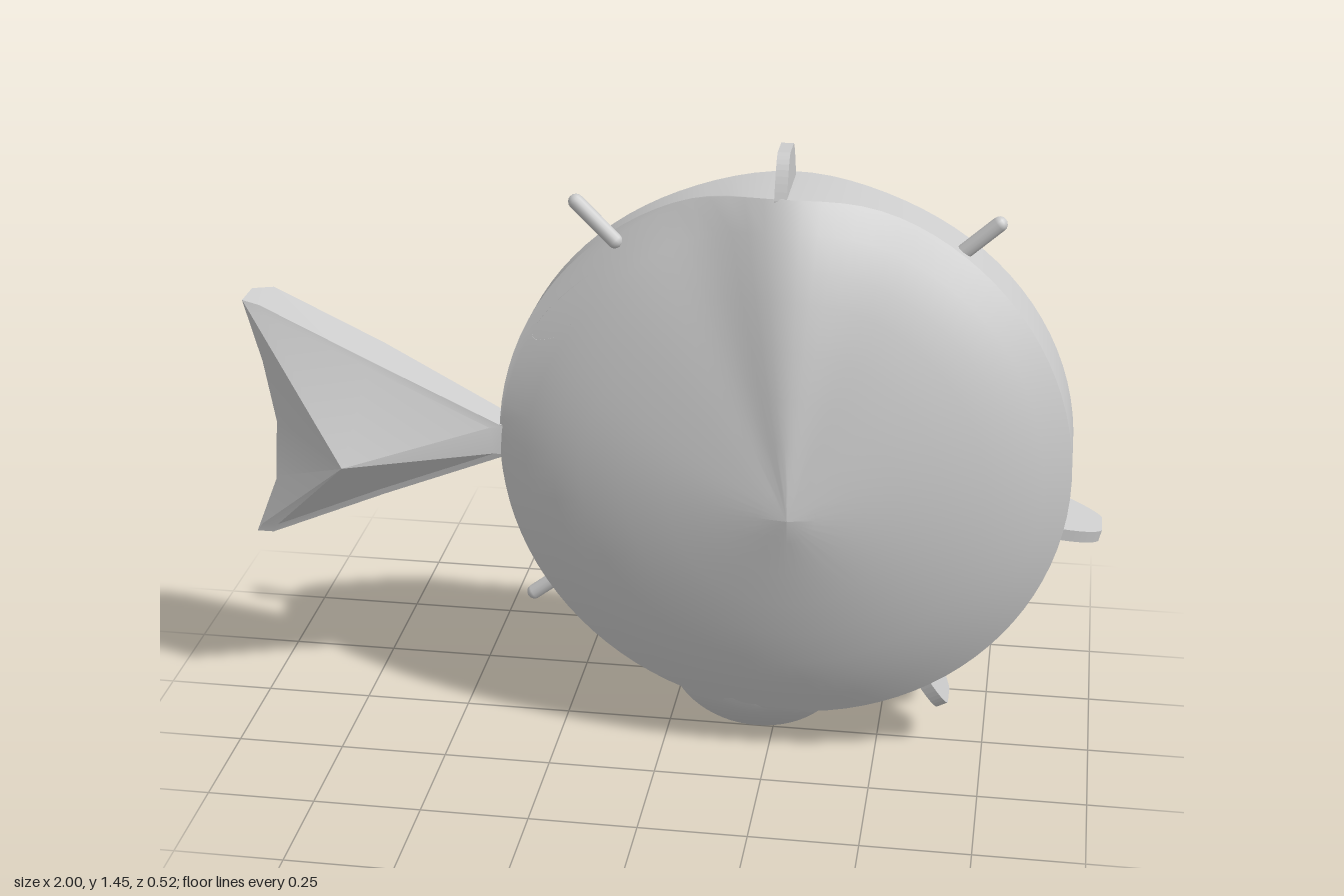
import * as THREE from 'three';
import { toCreasedNormals } from 'three/addons/utils/BufferGeometryUtils.js';

const grey = new THREE.MeshStandardMaterial({ color: 0xcccccc, side: THREE.DoubleSide });
grey.name = 'light grey';

const CX = 0.26, CY = 0.73, RX = 0.66, RY = 0.63; // body outline
const OX = 0.04, OY = -0.06, APEX = 0.26;         // offset and depth of the front peak
const V = (x, y, z) => new THREE.Vector3(x, y, z);
const loop = (n, f) => Array.from({ length: n }, (_, i) => f((i / n) * Math.PI * 2));

// Skin through a list of closed rings
function loft(rings, crease = 0.6) {
  const n = rings[0].length, pos = [], idx = [];
  rings.forEach((r) => r.forEach((p) => pos.push(p.x, p.y, p.z)));
  for (let i = 0; i < rings.length - 1; i++) {
    for (let j = 0; j < n; j++) {
      const k = (j + 1) % n, a = i * n + j, b = a + n, c = (i + 1) * n + k, d = i * n + k;
      idx.push(a, b, c, a, c, d);
    }
  }
  const g = new THREE.BufferGeometry();
  g.setAttribute('position', new THREE.Float32BufferAttribute(pos, 3));
  g.setIndex(idx);
  return toCreasedNormals(g, crease);
}

// Depth rules: front rim, back rim, front shell and rear dome
const near = (a, mid, width) => Math.exp(-((Math.atan2(Math.sin(a - mid), Math.cos(a - mid)) / width) ** 2));
const rimFront = (a) => 0.05 + 0.035 * Math.cos(a) - 0.045 * Math.sin(a) + 0.08 * near(a, Math.PI / 2, 0.24);
const rimBack = (a) => -0.1 - 0.015 * Math.cos(a) + 0.015 * Math.sin(a) - 0.035 * near(a, Math.PI / 2, 0.28);
const shellZ = (t, a) => rimFront(a) + (APEX - rimFront(a)) * (1 - 0.6 * t - 0.4 * t ** 4);
const domeZ = (x, y) => Math.min(-0.09, -0.265 + 0.55 * (x - 0.3) ** 2 + 0.4 * (y - 0.72) ** 2);
function floorZ(x, y) {
  let t = 0.5, a = 0;
  for (let i = 0; i < 10; i++) {
    const u = (x - CX - (1 - t) * OX) / RX, v = (y - CY - (1 - t) * OY) / RY;
    t = Math.min(1, Math.hypot(u, v));
    a = Math.atan2(v, u);
  }
  return shellZ(t, a) - 0.015;
}

// Hollow body: peaked front shell, ledge at the upper tail side, side wall and open back
function bodyGeometry() {
  const N = 96, rings = [];
  const ring = (t, scale, z) => loop(N, (a) => V(
    CX + (1 - t) * OX + t * scale(a) * RX * Math.cos(a),
    CY + (1 - t) * OY + t * scale(a) * RY * Math.sin(a), z(a)));
  const full = () => 1, inset = () => 0.955;
  const ledge = (a) => 1 - 0.04 * near(a, 2.5, 0.45);
  const steps = [0.001, 0.1, 0.25, 0.4, 0.55, 0.7, 0.8, 0.9, 1];
  steps.forEach((t) => rings.push(ring(t, ledge, (a) => shellZ(t, a))));
  rings.push(ring(1, full, (a) => rimFront(a) - 0.003), ring(1, full, rimBack), ring(1, inset, rimBack));
  steps.reverse().forEach((t) => rings.push(ring(t, inset, (a) => shellZ(t, a) - 0.02)));
  return loft(rings);
}

// Wall standing on the shell floor and trimmed by the rear dome
function wallGeometry(outer, inner) {
  const at = (pts, f) => pts.map((p) => V(p.x, p.y, f(p.x, p.y)));
  return loft([at(outer, floorZ), at(outer, domeZ), at(inner, domeZ), at(inner, floorZ)]);
}
const circle = (x, y, r) => loop(32, (a) => V(x + r * Math.cos(a), y + r * Math.sin(a), 0));

// Crescent outline that arches over the tubes
const crescent = (w, h) => loop(64, (a) => {
  const s = Math.sin(a);
  return V(0.23 + w * Math.cos(a), 0.98 + 0.23 * s * s + h * s, 0);
});

// Hollow tail: flat flange, pyramid front, thin wall with clipped corners
function tailGeometry() {
  const outline = [[-0.38, 0.68], [-0.39, 0.75], [-0.7, 0.895], [-0.96, 1.02], [-1, 1.03], [-0.96, 0.88],
    [-0.935, 0.73], [-0.945, 0.58], [-1, 0.44], [-0.96, 0.44], [-0.68, 0.56]];
  const ring = (s, z) => outline.map(([x, y]) => V(-0.8 + (x + 0.8) * s, 0.72 + (y - 0.72) * s, z(x)));
  const peak = (z) => outline.map(() => V(-0.75, 0.67, z));
  const flat = (z) => () => z;
  const back = (x) => (x < -0.97 || x > -0.45 ? -0.065 : -0.108);
  return loft([peak(0.13), ring(0.92, flat(0.02)), ring(1, flat(0.015)), ring(1, back),
    ring(0.9, back), ring(0.9, flat(-0.005)), peak(0.1)], 0.3);
}

// Curled lip below the body
function lipGeometry() {
  const P = [], idx = [], N = 32, M = 8;
  for (let i = 0; i <= M; i++) {
    for (let j = 0; j <= N; j++) {
      const q = i / M, s = 0.4 + 0.6 * q, a = Math.PI * (1 + j / N);
      P.push(0.21 + 0.215 * s * Math.cos(a), 0.19 + 0.19 * s * Math.sin(a), 0.1 * (1 - q ** 1.4));
      if (i < M && j < N) {
        const k = i * (N + 1) + j, b = k + N + 1;
        idx.push(k, b, b + 1, k, b + 1, k + 1);
      }
    }
  }
  const g = new THREE.BufferGeometry();
  g.setAttribute('position', new THREE.Float32BufferAttribute(P, 3));
  g.setIndex(idx);
  g.computeVertexNormals();
  return g;
}

// Thin fin, broad in depth, pointing away from the body
function finGeometry(x, y, dx, dy) {
  const s = new THREE.Shape();
  s.moveTo(-0.1, -0.015);
  s.lineTo(0.085, -0.015);
  s.lineTo(0.085, 0);
  s.quadraticCurveTo(0.06, 0.08, 0.03, 0.095);
  s.lineTo(-0.04, 0.095);
  s.quadraticCurveTo(-0.07, 0.08, -0.1, 0);
  const g = new THREE.ExtrudeGeometry(s, { depth: 0.028, bevelEnabled: false, curveSegments: 8 });
  g.translate(0, 0, -0.014);
  const z = V(0, 0, 1), d = V(dx, dy, 0).normalize();
  const m = new THREE.Matrix4().makeBasis(z, d, z.clone().cross(d)).setPosition(x, y, 0);
  return g.applyMatrix4(m);
}

export function createModel() {
  const model = new THREE.Group();
  model.name = 'hollowFish';
  const add = (name, geo) => {
    const m = new THREE.Mesh(geo, grey);
    m.name = name;
    model.add(m);
    return m;
  };

  add('body', bodyGeometry());
  add('tail', tailGeometry());
  add('lip', lipGeometry());
  add('crescentWall', wallGeometry(crescent(0.55, 0.085), crescent(0.48, 0.055)));

  // Open tubes: x, y, outer radius, inner radius
  [[0.63, 0.48, 0.14, 0.105], [0.19, 0.8, 0.095, 0.06], [-0.13, 0.835, 0.085, 0.055],
    [0, 0.54, 0.105, 0.07], [0.3, 0.35, 0.09, 0.06], [0.48, 1.02, 0.11, 0.07],
    [0.84, 0.82, 0.05, 0.028]].forEach(([x, y, R, r]) =>
    add('tube', wallGeometry(circle(x, y, R), circle(x, y, r))));
  add('tubeCore', wallGeometry(circle(0.63, 0.48, 0.065), circle(0.63, 0.48, 0.0005)));

  // Broad fins
  [[0.255, 1.355, 0, 1], [0.9, 0.6, 0.97, -0.24], [0.61, 0.195, 0.46, -0.88]].forEach((f) =>
    add('fin', finGeometry(...f)));

  // Rounded spikes: root and tip
  [[0.63, 1.21, 0.735, 1.305], [-0.12, 1.21, -0.22, 1.31], [-0.25, 0.38, -0.335, 0.315]].forEach(([x, y, u, v]) => {
    const len = Math.hypot(u - x, v - y);
    const spike = add('spike', new THREE.CapsuleGeometry(0.018, len - 0.018, 4, 12));
    spike.position.set((x + u) / 2, (y + v) / 2, 0);
    spike.rotation.z = Math.atan2(v - y, u - x) - Math.PI / 2;
  });

  // Small bar on the lower back rim, and the tail joint
  const bar = add('rimBar', new THREE.BoxGeometry(0.16, 0.03, 0.1));
  bar.position.set(-0.04, 0.2, -0.09);
  bar.rotation.z = -0.48;
  add('tailJoint', new THREE.BoxGeometry(0.03, 0.08, 0.1)).position.set(-0.4, 0.715, -0.035);
  return model;
}
